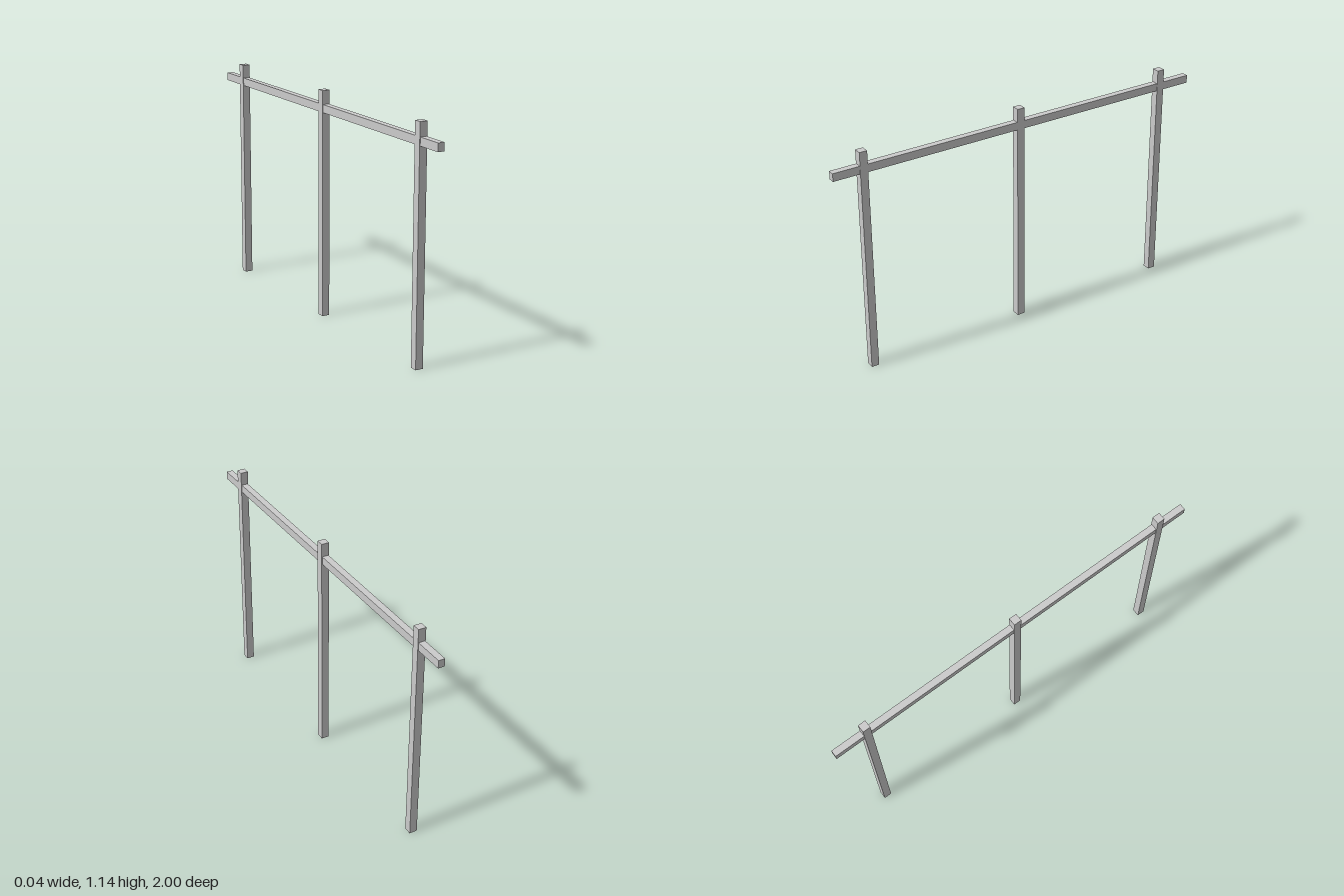
import * as THREE from 'three';

export function createModel() {
  const group = new THREE.Group();
  const material = new THREE.MeshStandardMaterial({ color: 0xcccccc, flatShading: true });

  const addBeam = (name, width, height, depth, y, z) => {
    const beam = new THREE.Mesh(new THREE.BoxGeometry(width, height, depth), material);
    beam.name = name;
    beam.position.set(0, y, z);
    group.add(beam);
  };

  // Three evenly spaced square posts
  const postHeight = 1.138;
  const names = ['backPost', 'middlePost', 'frontPost'];
  names.forEach((name, i) => {
    addBeam(name, 0.039, postHeight, 0.039, postHeight / 2, 0.01 + (i - 1) * 0.836);
  });

  // Long rail running through the posts near their tops
  addBeam('rail', 0.033, 0.04, 2, 1.05, 0);

  return group;
}
